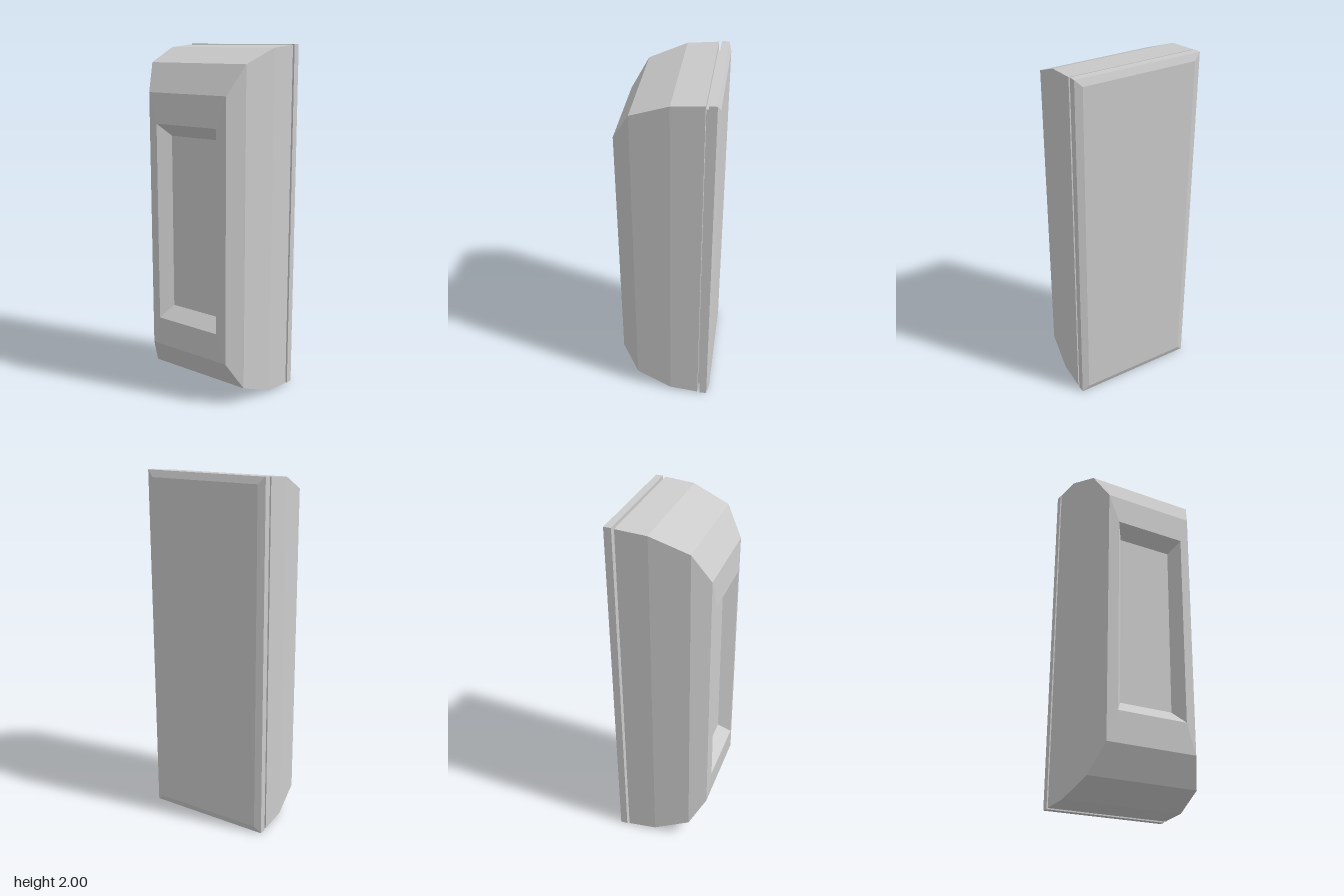
import * as THREE from 'three';

// Lofts rectangular sections [x, half height, half depth] along x and caps both ends.
function loft(name, sections) {
  const rings = sections.map(([x, h, d]) =>
    [[1, 1], [1, -1], [-1, -1], [-1, 1]].map(([sy, sz]) => [x, 1 + sy * h, sz * d]));
  const pos = [];
  const quad = (a, b, c, d) => pos.push(...a, ...b, ...c, ...a, ...c, ...d);
  quad(...rings[0]);
  for (let i = 0; i < rings.length - 1; i++) {
    for (let k = 0; k < 4; k++) {
      const n = (k + 1) % 4;
      quad(rings[i][k], rings[i + 1][k], rings[i + 1][n], rings[i][n]);
    }
  }
  quad(...[...rings[rings.length - 1]].reverse());
  const geometry = new THREE.BufferGeometry();
  geometry.setAttribute('position', new THREE.Float32BufferAttribute(pos, 3));
  geometry.computeVertexNormals();
  const material = new THREE.MeshStandardMaterial({ color: 0xcccccc, flatShading: true });
  const mesh = new THREE.Mesh(geometry, material);
  mesh.name = name;
  return mesh;
}

export function createModel() {
  const group = new THREE.Group();
  group.name = 'panelHousing';

  // Tapered housing: starts at the recess floor, goes out to its rim, then back over the shell
  group.add(loft('housing', [
    [-0.204, 0.5, 0.16],
    [-0.275, 0.57, 0.21],
    [-0.265, 0.74, 0.27],
    [-0.172, 0.9, 0.329],
    [0.035, 0.982, 0.361],
    [0.204, 0.996, 0.366],
  ]));

  // Narrow core that leaves a groove between housing and plate
  group.add(loft('grooveCore', [
    [0.2, 0.962, 0.329],
    [0.223, 0.962, 0.329],
  ]));

  // Face plate with a bevelled outer rim
  group.add(loft('facePlate', [
    [0.219, 1, 0.367],
    [0.26, 1, 0.367],
    [0.274, 0.962, 0.329],
  ]));

  return group;
}
